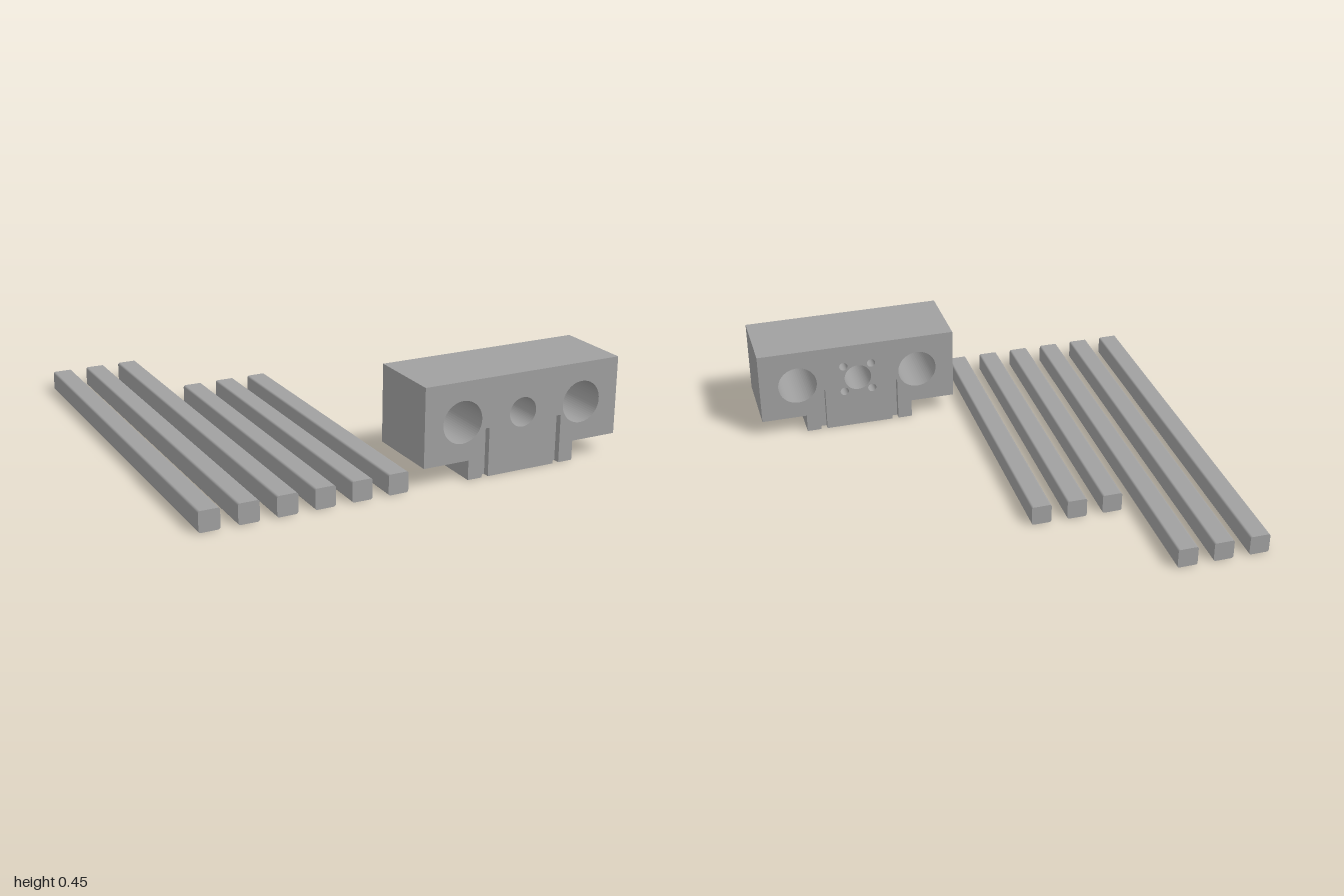
import * as THREE from 'three';

const gray = new THREE.MeshStandardMaterial({ color: 0xa0a0a0 });
gray.name = 'machined gray';

// Extrudes a shape so that it fills z0..z1
function slab(name, shape, z0, z1) {
  const geo = new THREE.ExtrudeGeometry(shape, { depth: z1 - z0, bevelEnabled: false, curveSegments: 32 });
  const mesh = new THREE.Mesh(geo, gray);
  mesh.name = name;
  mesh.position.z = z0;
  return mesh;
}

function addHole(shape, x, y, r) {
  shape.holes.push(new THREE.Path().absarc(x, y, r, 0, Math.PI * 2, true));
}

// Block outline with its three through bores, optional slots and bolt holes
function blockShape(slots, boltHoles) {
  const points = [[0.02, 0.09], [0.24, 0.09], [0.24, 0]];
  if (slots) {
    for (const x of [0.31, 0.677]) {
      points.push([x, 0], [x, 0.223], [x + 0.031, 0.223], [x + 0.031, 0]);
    }
  }
  points.push([0.778, 0], [0.778, 0.09], [1, 0.09], [1, 0.45], [0.02, 0.45]);
  const shape = new THREE.Shape(points.map(([x, y]) => new THREE.Vector2(x, y)));
  addHole(shape, 0.206, 0.268, 0.096);
  addHole(shape, 0.509, 0.268, 0.067);
  addHole(shape, 0.812, 0.268, 0.096);
  if (boltHoles) {
    for (const dx of [-0.07, 0.07]) {
      for (const dy of [-0.07, 0.07]) addHole(shape, 0.509 + dx, 0.268 + dy, 0.021);
    }
  }
  return shape;
}

// Square bar with slightly rounded long edges
function barShape(x, size, r) {
  const s = new THREE.Shape();
  s.absarc(x + size - r, r, r, -Math.PI / 2, 0);
  s.absarc(x + size - r, size - r, r, 0, Math.PI / 2);
  s.absarc(x + r, size - r, r, Math.PI / 2, Math.PI);
  s.absarc(x + r, r, r, Math.PI, Math.PI * 1.5);
  return s;
}

export function createModel() {
  const model = new THREE.Group();
  model.name = 'blockAndBars';

  // Bored block, layered so the slots and bolt holes are blind
  const block = new THREE.Group();
  block.name = 'boredBlock';
  const back = 0.609, front = 0.975, slotDepth = 0.03, boltDepth = 0.12;
  block.add(
    slab('slottedBackFace', blockShape(true, true), back, back + slotDepth),
    slab('boltHoleLayer', blockShape(false, true), back + slotDepth, back + boltDepth),
    slab('blockCore', blockShape(false, false), back + boltDepth, front - slotDepth),
    slab('slottedFrontFace', blockShape(true, false), front - slotDepth, front)
  );
  model.add(block);

  // Three long and three short bars, flush at the front
  for (let i = 0; i < 6; i++) {
    const long = i < 3;
    model.add(slab(long ? 'longBar' : 'shortBar', barShape(-1 + i * 0.1705, 0.094, 0.01), long ? -0.975 : -0.488, 0.975));
  }
  return model;
}
